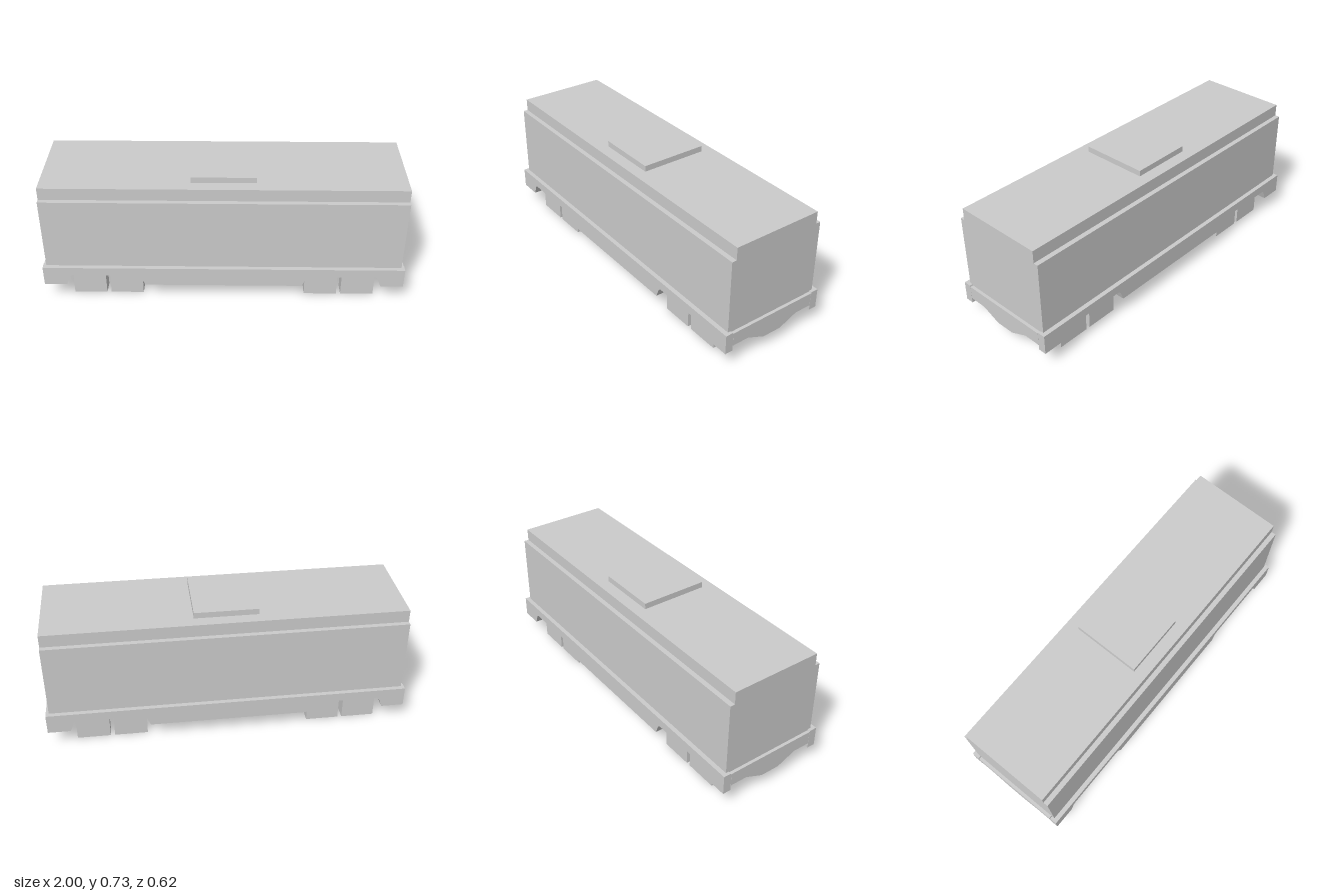
import * as THREE from 'three';

const material = new THREE.MeshStandardMaterial({ color: 0xcccccc, flatShading: true });

function addMesh(parent, name, geometry) {
  const mesh = new THREE.Mesh(geometry, material);
  mesh.name = name;
  parent.add(mesh);
  return mesh;
}

// Box given by its minimum and maximum corners
function addBox(parent, name, [x0, y0, z0], [x1, y1, z1]) {
  const mesh = addMesh(parent, name, new THREE.BoxGeometry(x1 - x0, y1 - y0, z1 - z0));
  mesh.position.set((x0 + x1) / 2, (y0 + y1) / 2, (z0 + z1) / 2);
  return mesh;
}

function extrude(points, depth) {
  const shape = new THREE.Shape(points.map(([x, y]) => new THREE.Vector2(x, y)));
  return new THREE.ExtrudeGeometry(shape, { depth, bevelEnabled: false });
}

// Cross-section of [z, y] points swept along x, centred on x = 0
function sweepAlongX(points, length) {
  return extrude(points.map(([z, y]) => [-z, y]), length)
    .rotateY(Math.PI / 2)
    .translate(-length / 2, 0, 0);
}

export function createModel() {
  const model = new THREE.Group();
  model.name = 'wagon';

  // Body with a stepped roof and a raised hatch
  const body = [[0.284, 0.207], [0.284, 0.63], [0.257, 0.63], [0.257, 0.7]];
  const bodyOutline = [...body, ...body.map(([z, y]) => [-z, y]).reverse()];
  addMesh(model, 'body', sweepAlongX(bodyOutline, 1.966));
  addBox(model, 'roofHatch', [-0.175, 0.7, -0.189], [0.175, 0.733, 0.189]);

  // Underframe with a sloping keel
  const keel = [[0.262, 0.207], [0.262, 0.13], [0.163, 0.13], [0.055, 0.083]];
  const keelOutline = [...keel, ...keel.map(([z, y]) => [-z, y]).reverse()];
  addMesh(model, 'underframe', sweepAlongX(keelOutline, 2));

  // Side skirt outline, with a chamfered cut-out over each wheel pair
  const cutout = [[-0.875, 0.1], [-0.855, 0.152], [-0.842, 0.163], [-0.47, 0.163], [-0.457, 0.152], [-0.437, 0.1]];
  const skirtOutline = [
    [-1, 0.2], [-1, 0.1], ...cutout,
    ...cutout.map(([x, y]) => [-x, y]).reverse(),
    [1, 0.1], [1, 0.2],
  ];

  for (const side of [1, -1]) {
    const label = side > 0 ? 'front' : 'back';

    const skirt = addMesh(model, label + 'Skirt', extrude(skirtOutline, 0.046));
    skirt.position.z = side > 0 ? 0.263 : -0.309;

    // Top rail with its inner edge cut back
    const rail = [[0.263, 0.2], [0.309, 0.2], [0.309, 0.213], [0.267, 0.213]];
    addMesh(model, label + 'SkirtRail', sweepAlongX(rail.map(([z, y]) => [z * side, y]), 2));

    // Blocky wheels in pairs
    for (const end of [-1, 1]) {
      for (const x of [0.548, 0.756]) {
        const wheel = addMesh(model, label + 'Wheel', new THREE.BoxGeometry(0.184, 0.13, 0.079));
        wheel.position.set(end * x, 0.065, side * 0.2135);
      }
    }
  }
  return model;
}
